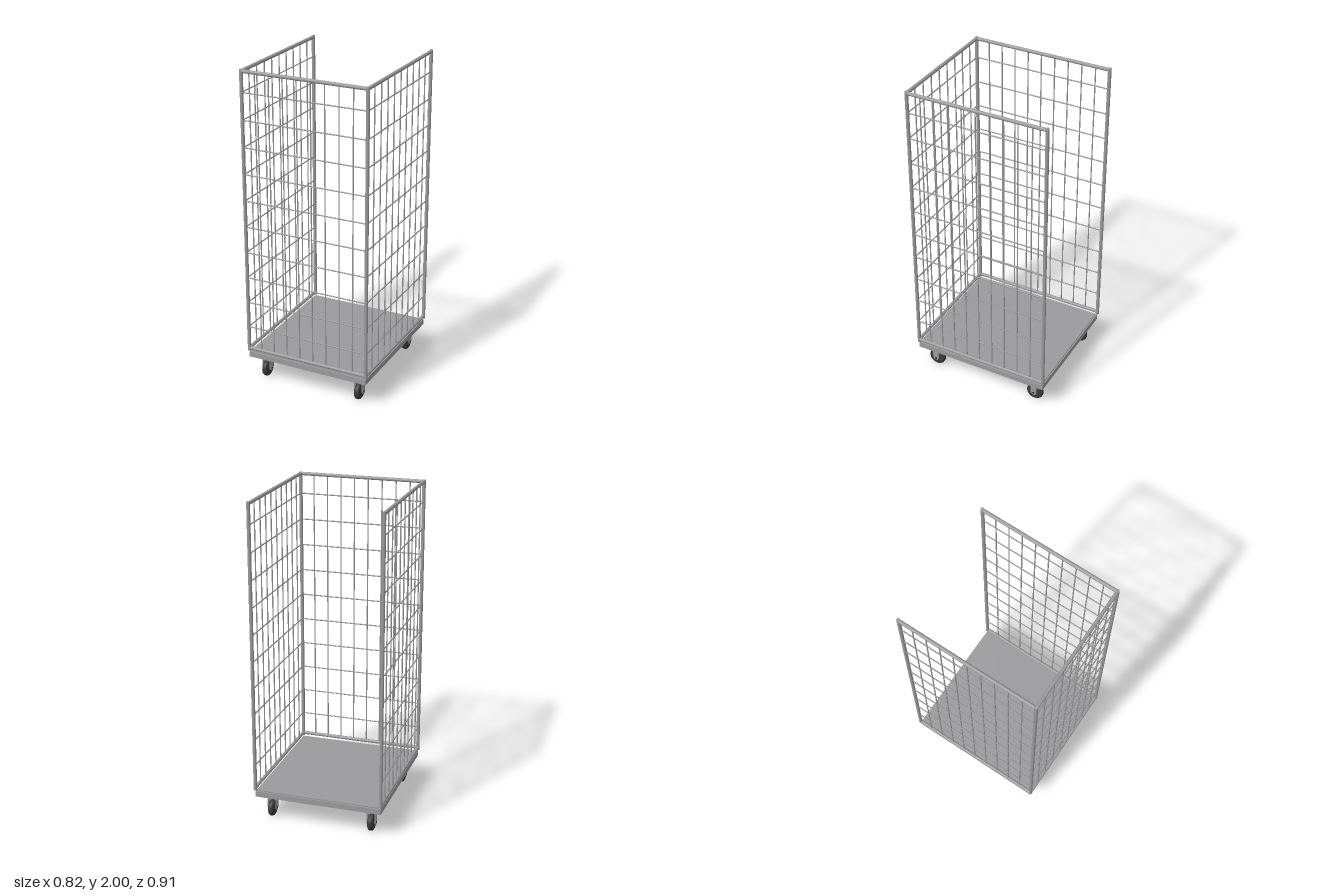
import * as THREE from 'three';

const steel = new THREE.MeshStandardMaterial({ color: 0x9b9b9d });
steel.name = 'grey steel';
const dark = new THREE.MeshStandardMaterial({ color: 0x3a3a3a });
dark.name = 'dark rubber';

function add(parent, name, geometry, material, x = 0, y = 0, z = 0) {
  const mesh = new THREE.Mesh(geometry, material);
  mesh.name = name;
  mesh.position.set(x, y, z);
  parent.add(mesh);
  return mesh;
}

// straight round bar between two points
function bar(parent, name, a, b, r, sides) {
  const from = new THREE.Vector3(...a), to = new THREE.Vector3(...b);
  const dir = to.clone().sub(from);
  const mid = from.add(to).multiplyScalar(0.5);
  const mesh = add(parent, name, new THREE.CylinderGeometry(r, r, dir.length(), sides), steel, mid.x, mid.y, mid.z);
  mesh.quaternion.setFromUnitVectors(new THREE.Vector3(0, 1, 0), dir.normalize());
}

const TUBE = 0.011, WIRE = 0.004;
const BOTTOM = 0.2, TOP = 2, LOW_RAIL = 0.217, HIGH_RAIL = TOP - TUBE;

// mesh panel in its own x-y plane: frame tubes and a wire grid
function panel(name, half, uprights, pitch) {
  const g = new THREE.Group();
  g.name = name;
  for (const y of [LOW_RAIL, HIGH_RAIL]) bar(g, 'rail', [-half, y, 0], [half, y, 0], TUBE, 16);
  for (let i = 0; i < uprights; i++) {
    const x = (i - (uprights - 1) / 2) * pitch;
    bar(g, 'verticalWire', [x, LOW_RAIL, 0], [x, HIGH_RAIL, 0], WIRE, 8);
  }
  for (let i = 0; i < 10; i++) {
    const y = 0.363 + i * 0.1667;
    bar(g, 'horizontalWire', [-half, y, 0], [half, y, 0], WIRE, 8);
  }
  return g;
}

// swivel caster: mounting plate, two-legged fork, axle and wheel
function caster(x, z) {
  const g = new THREE.Group();
  g.name = 'caster';
  g.position.set(x, 0, z);
  add(g, 'mountingPlate', new THREE.BoxGeometry(0.07, 0.014, 0.07), dark, 0, 0.148, 0);
  add(g, 'forkBridge', new THREE.BoxGeometry(0.056, 0.006, 0.04), steel, 0, 0.138, 0);

  const leg = new THREE.Shape();
  leg.moveTo(-0.02, 0.138);
  leg.lineTo(-0.02, 0.06);
  leg.absarc(0, 0.06, 0.02, Math.PI, Math.PI * 2, false);
  leg.lineTo(0.02, 0.138);
  const legGeo = new THREE.ExtrudeGeometry(leg, { depth: 0.005, bevelEnabled: false, curveSegments: 8 });
  legGeo.rotateY(Math.PI / 2);
  for (const s of [-1, 1]) add(g, 'forkLeg', legGeo, steel, s * 0.0255 - 0.0025, 0, 0);

  // tyre turned from a rounded profile
  const profile = [[0, -0.017], [0.044, -0.017], [0.051, -0.013], [0.055, -0.006],
    [0.055, 0.006], [0.051, 0.013], [0.044, 0.017], [0, 0.017]].map(p => new THREE.Vector2(...p));
  const wheel = add(g, 'wheel', new THREE.LatheGeometry(profile, 28), dark, 0, 0.055, 0);
  const axle = add(g, 'axle', new THREE.CylinderGeometry(0.008, 0.008, 0.06, 12), dark, 0, 0.055, 0);
  wheel.rotation.z = axle.rotation.z = Math.PI / 2;
  return g;
}

export function createModel() {
  const model = new THREE.Group();
  model.name = 'rollCage';

  // platform with a slightly inset top plate
  add(model, 'deck', new THREE.BoxGeometry(0.8, 0.035, 0.886), steel, 0, 0.1725, 0);
  add(model, 'deckPlate', new THREE.BoxGeometry(0.776, 0.008, 0.866), steel, 0, 0.193, -0.002);

  // three mesh walls, the back stays open
  const front = panel('frontPanel', 0.398, 8, 0.089);
  front.position.z = 0.441;
  model.add(front);
  for (const s of [-1, 1]) {
    const side = panel(s > 0 ? 'leftPanel' : 'rightPanel', 0.442, 9, 0.0885);
    side.rotation.y = Math.PI / 2;
    side.position.x = s * 0.399;
    model.add(side);
    for (const z of [-0.443, 0.441]) bar(model, 'cornerPost', [s * 0.399, BOTTOM, z], [s * 0.399, TOP, z], TUBE, 16);
    for (const z of [-0.355, 0.355]) model.add(caster(s * 0.32, z));
  }
  return model;
}
